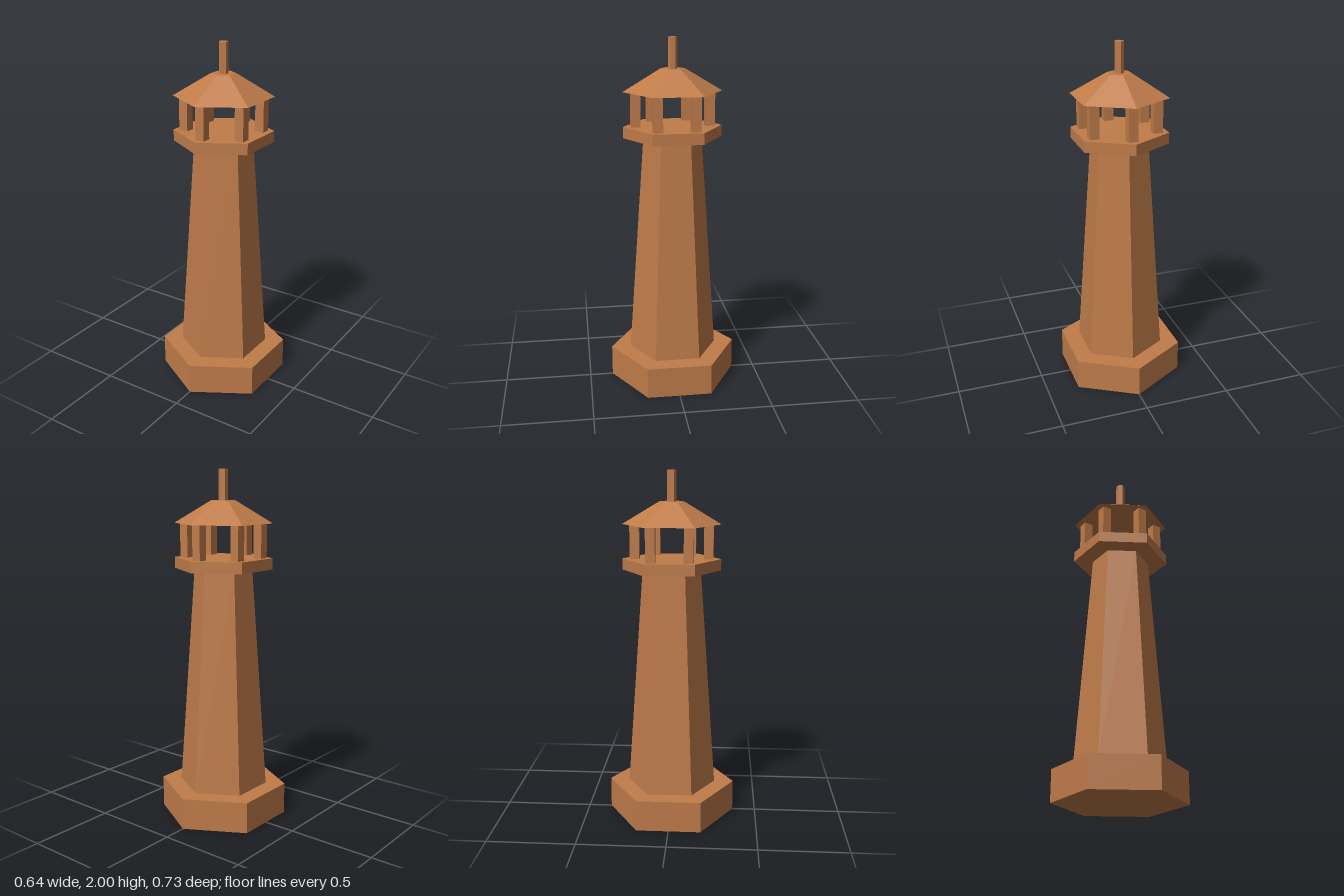
import * as THREE from 'three';

export function createModel() {
  const model = new THREE.Group();
  model.name = 'lighthouse';
  const copper = new THREE.MeshStandardMaterial({ color: 0xc07c4a });
  copper.name = 'copper brown';
  copper.flatShading = true;

  const add = (name, geometry, x, y, z) => {
    const mesh = new THREE.Mesh(geometry, copper);
    mesh.name = name;
    mesh.position.set(x, y, z);
    model.add(mesh);
  };

  // Hexagonal section standing between two heights, corners towards +z and -z
  const hexagon = (name, bottomRadius, topRadius, y0, y1) =>
    add(name, new THREE.CylinderGeometry(topRadius, bottomRadius, y1 - y0, 6), 0, (y0 + y1) / 2, 0);

  hexagon('base', 0.367, 0.367, 0, 0.18);
  hexagon('tower', 0.255, 0.165, 0.18, 1.45);
  hexagon('gallery', 0.278, 0.278, 1.45, 1.513);
  hexagon('roof', 0.278, 0.069, 1.705, 1.83);
  hexagon('finial', 0.026, 0.026, 1.83, 2);

  // Square lantern posts, one at each corner of the gallery
  for (let i = 0; i < 6; i++) {
    const angle = (i * Math.PI) / 3;
    add('lanternPost', new THREE.BoxGeometry(0.053, 0.192, 0.053),
      0.208 * Math.sin(angle), 1.609, 0.208 * Math.cos(angle));
  }
  return model;
}
